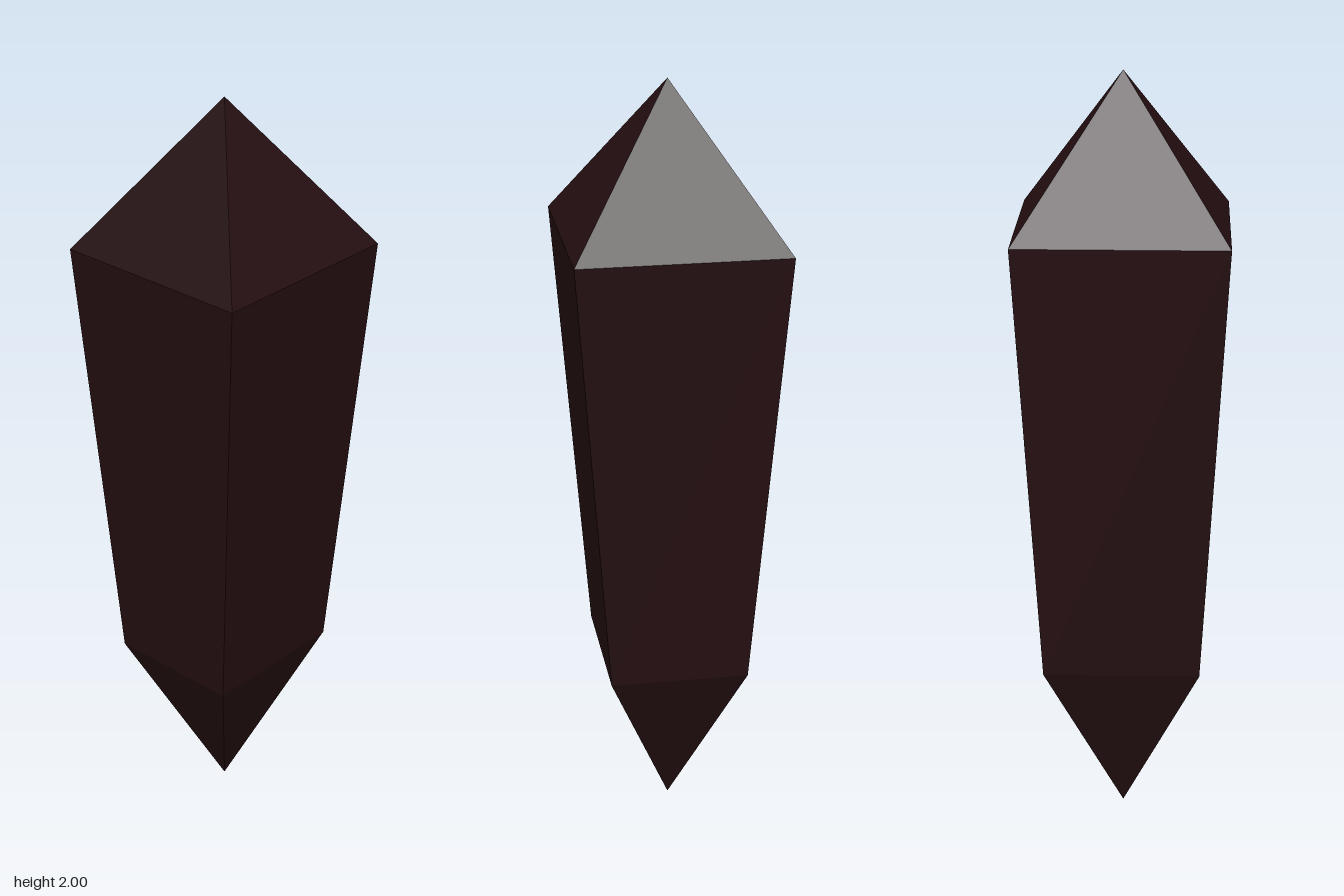
import * as THREE from 'three';

// Four-sided crystal: rectangular cross-sections from the bottom tip to the top tip
const SECTIONS = [
  { y: 0, x: 0, z: 0 },
  { y: 0.455, x: 0.18, z: 0.203 },
  { y: 1.613, x: 0.268, z: 0.268 },
  { y: 2, x: 0, z: 0 },
];
const CORNERS = [[1, 1], [1, -1], [-1, -1], [-1, 1]]; // counter-clockwise from above

function facetBand(low, high) {
  const corner = (s, i) => [s.x * CORNERS[i % 4][0], s.y, s.z * CORNERS[i % 4][1]];
  const positions = [];
  for (let i = 0; i < 4; i++) {
    const a = corner(low, i), b = corner(low, i + 1);
    const c = corner(high, i + 1), d = corner(high, i);
    if (low.x > 0) positions.push(...a, ...b, ...c);
    if (high.x > 0) positions.push(...a, ...c, ...d);
  }
  const geometry = new THREE.BufferGeometry();
  geometry.setAttribute('position', new THREE.Float32BufferAttribute(positions, 3));
  geometry.computeVertexNormals();
  return geometry;
}

export function createModel() {
  const model = new THREE.Group();
  model.name = 'crystal';
  const material = new THREE.MeshStandardMaterial({ color: 0x240e10, flatShading: true });

  // Lower point, tapering shaft and upper point
  ['lowerPoint', 'shaft', 'upperPoint'].forEach((name, i) => {
    const mesh = new THREE.Mesh(facetBand(SECTIONS[i], SECTIONS[i + 1]), material);
    mesh.name = name;
    model.add(mesh);
  });
  return model;
}
